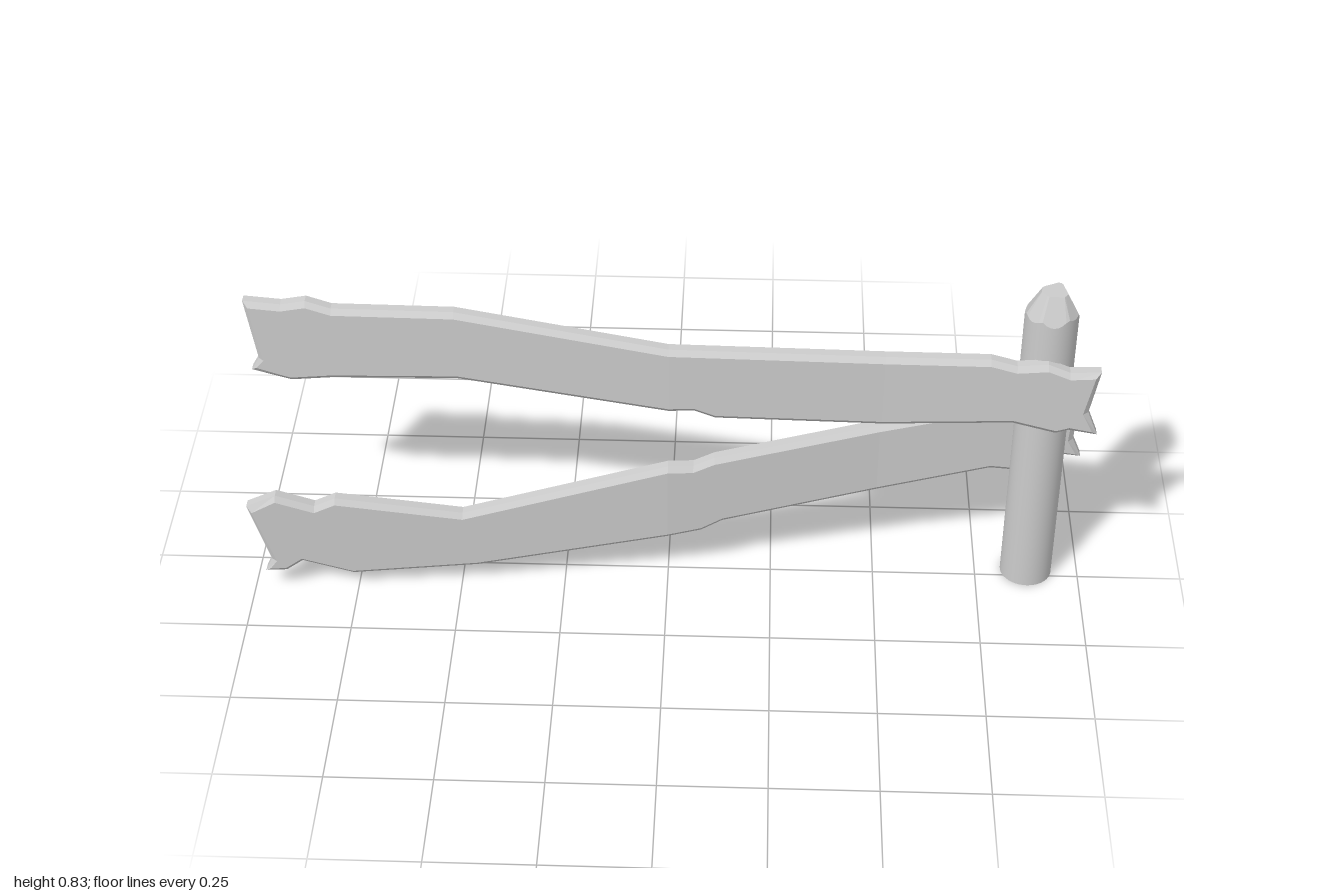
import * as THREE from 'three';

const material = new THREE.MeshStandardMaterial({ color: 0xcccccc, flatShading: true });
const smoothMaterial = new THREE.MeshStandardMaterial({ color: 0xcccccc });

// Piecewise linear profile lookup
function sample(points, x) {
  if (x <= points[0][0]) return points[0][1];
  for (let i = 1; i < points.length; i++) {
    const [x0, y0] = points[i - 1], [x1, y1] = points[i];
    if (x <= x1) return y0 + (y1 - y0) * (x - x0) / (x1 - x0);
  }
  return points[points.length - 1][1];
}

// Weathered plank: chamfered cross-sections along x, with a notched cut at each end.
// An end is [bottom x, notch x, top x, notch height fraction].
function plank(name, { top, bottom, path, left, right }) {
  const T = 0.022, h = 0.011, b = 0.013;
  const lo = Math.max(...left.slice(0, 3)) + b, hi = Math.min(...right.slice(0, 3)) - b;
  const inner = [...new Set([...top, ...bottom, ...path].map(p => p[0]))]
    .filter(x => x > lo && x < hi).sort((p, q) => p - q);
  const ends = inner.map(x => [x, x, x, THREE.MathUtils.mapLinear(x, -1, 1, left[3], right[3])]);
  const stations = [left, ...ends, right];
  const last = stations.length - 1;

  const section = ([xb, xn, xt, f], i) => {
    const inset = i === 0 ? b : i === last ? -b : 0;
    const yb = sample(bottom, xb), yt = sample(top, xt), yn = yb + (yt - yb) * f;
    const at = (x, y, dz) => [x, y, sample(path, x) + dz];
    const ring = [
      at(xb, yb, -h), at(xb, yb, h),
      at(xb + inset, yb + b, T), at(xn + inset, yn, T), at(xt + inset, yt - b, T),
      at(xt, yt, h), at(xt, yt, -h),
      at(xt + inset, yt - b, -T), at(xn + inset, yn, -T), at(xb + inset, yb + b, -T),
    ];
    return [...ring, at(xn, yn, h), at(xn, yn, -h)]; // 10, 11: end notch
  };
  const rings = stations.map(section);
  const pos = [];
  const tri = (p, q, r) => pos.push(...p, ...q, ...r);

  // Long sides
  for (let i = 0; i < last; i++) {
    for (let j = 0; j < 10; j++) {
      const k = (j + 1) % 10, A = rings[i], B = rings[i + 1];
      tri(A[j], B[j], B[k]);
      tri(A[j], B[k], A[k]);
    }
  }
  // End cuts and their chamfers
  const cap = [
    [0, 1, 10], [0, 10, 11], [11, 10, 5], [11, 5, 6],
    [1, 2, 3], [1, 3, 10], [10, 3, 4], [10, 4, 5],
    [0, 8, 9], [0, 11, 8], [11, 7, 8], [11, 6, 7],
  ];
  for (const [p, q, r] of cap) {
    const L = rings[0], R = rings[last];
    tri(L[p], L[q], L[r]);
    tri(R[p], R[r], R[q]);
  }
  const geometry = new THREE.BufferGeometry();
  geometry.setAttribute('position', new THREE.Float32BufferAttribute(pos, 3));
  geometry.computeVertexNormals();
  const mesh = new THREE.Mesh(geometry, material);
  mesh.name = name;
  return mesh;
}

// Round post with a tip hewn by a few sloping cuts
function post() {
  const R = 0.062, cap = 0.833, slope = 2, sides = 42;
  const lows = [0.768, 0.778, 0.76, 0.772, 0.752, 0.764, 0.77];
  const cuts = lows.map((low, i) => ({ low, angle: i / lows.length * Math.PI * 2 }));
  const shoulder = a => Math.min(...cuts.map(c =>
    c.low + slope * R * (1 - Math.cos(a - c.angle))));
  const tipRadius = a => Math.min(...cuts.map(c => {
    const cos = Math.cos(a - c.angle);
    return cos > 0.2 ? (c.low + slope * R - cap) / (slope * cos) : R;
  }));

  const shaft = new THREE.CylinderGeometry(R, R, 1, sides, 1, true);
  const tip = new THREE.CylinderGeometry(R, R, 1, sides, 1);
  const move = (geometry, rule) => {
    const p = geometry.attributes.position;
    for (let i = 0; i < p.count; i++) {
      const x = p.getX(i), z = p.getZ(i);
      p.setXYZ(i, ...rule(x, p.getY(i), z, Math.atan2(x, z)));
    }
  };
  move(shaft, (x, y, z, a) => [x, y > 0 ? shoulder(a) : 0, z]);
  move(tip, (x, y, z, a) => {
    if (y < 0) return [x, shoulder(a), z];
    const s = tipRadius(a) / R;
    return [x * s, cap, z * s];
  });

  const group = new THREE.Group();
  group.name = 'post';
  const base = new THREE.CircleGeometry(R, sides).rotateX(Math.PI / 2);
  const parts = [
    ['postShaft', shaft, smoothMaterial],
    ['postTip', tip, material],
    ['postBase', base, material],
  ];
  for (const [name, geometry, mat] of parts) {
    const mesh = new THREE.Mesh(geometry, mat);
    mesh.name = name;
    group.add(mesh);
  }
  group.position.set(0.875, 0, -0.025);
  return group;
}

export function createModel() {
  const model = new THREE.Group();
  model.name = 'fenceSection';
  model.add(post());

  model.add(plank('upperRail', {
    top: [[-1, 0.705], [-0.91, 0.703], [-0.85, 0.718], [-0.79, 0.702], [-0.5, 0.718], [0, 0.658],
      [0.5, 0.665], [0.74, 0.68], [0.8, 0.667], [0.87, 0.678], [0.92, 0.66], [0.995, 0.668]],
    bottom: [[-1, 0.508], [-0.9, 0.486], [-0.8, 0.502], [-0.5, 0.528], [0, 0.48], [0.06, 0.485],
      [0.11, 0.467], [0.5, 0.472], [0.8, 0.505], [0.9, 0.485], [0.93, 0.497], [0.995, 0.49]],
    path: [[-1, -0.107], [0, -0.014], [0.5, 0.006], [1, 0.053]],
    left: [-0.995, -0.975, -1, 0.18],
    right: [0.995, 0.97, 0.99, 0.35],
  }));

  model.add(plank('lowerRail', {
    top: [[-1, 0.255], [-0.93, 0.285], [-0.84, 0.25], [-0.79, 0.272], [-0.49, 0.217], [0, 0.342],
      [0.06, 0.338], [0.11, 0.358], [0.5, 0.422], [0.74, 0.467], [0.8, 0.458], [0.87, 0.488],
      [0.92, 0.476], [0.97, 0.49]],
    bottom: [[-0.97, 0.055], [-0.92, 0.055], [-0.88, 0.083], [-0.76, 0.04], [-0.46, 0.055],
      [0.08, 0.14], [0.13, 0.165], [0.5, 0.228], [0.77, 0.285], [0.82, 0.278], [0.9, 0.328],
      [0.985, 0.313]],
    path: [[-1, 0.101], [0, 0.022], [0.5, -0.053], [1, -0.092]],
    left: [-0.97, -0.953, -1, 0.18],
    right: [0.985, 0.963, 0.97, 0.3],
  }));
  return model;
}
